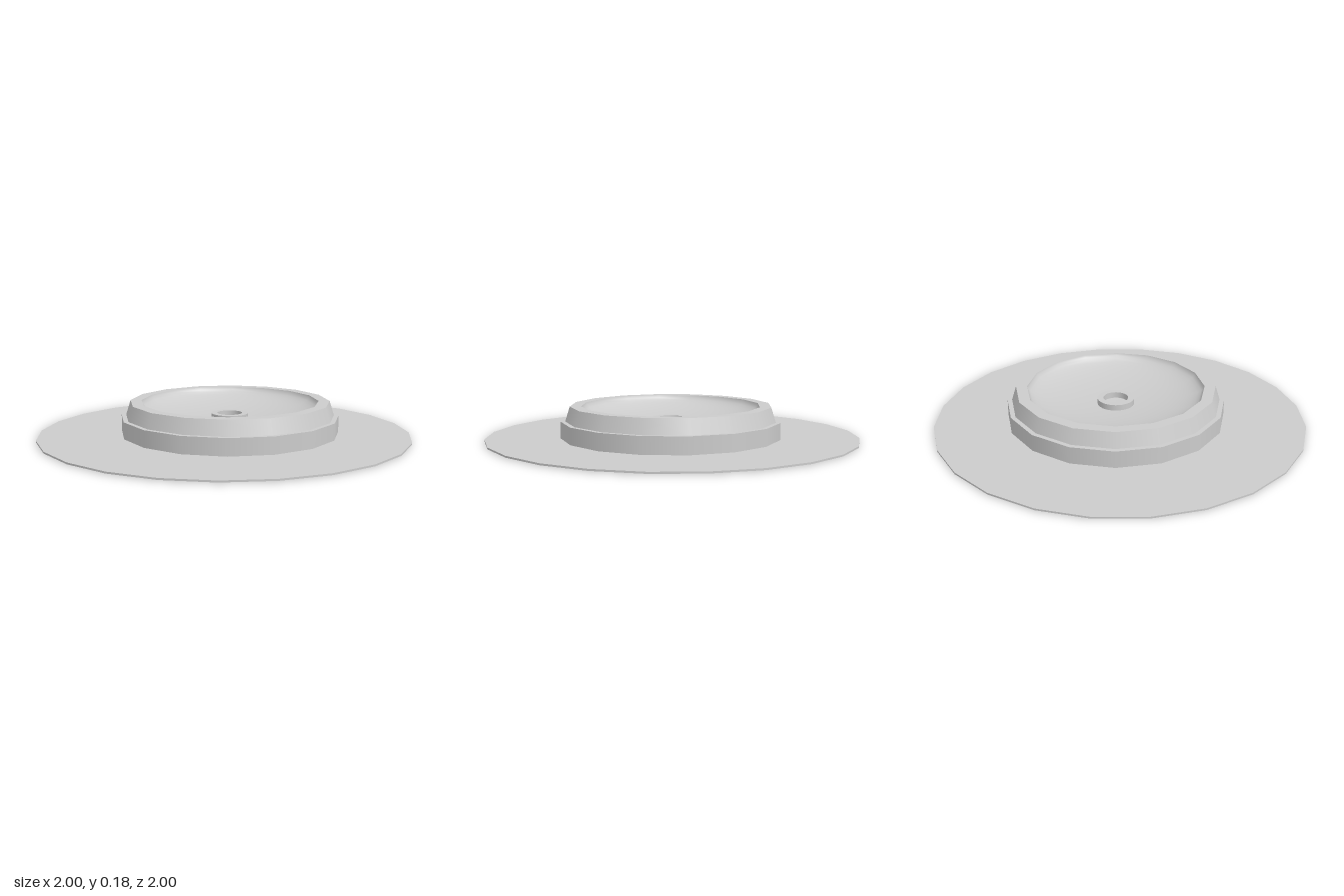
import * as THREE from 'three';
import { mergeGeometries } from 'three/addons/utils/BufferGeometryUtils.js';

const grey = new THREE.MeshStandardMaterial({ color: 0xcccccc });

// Revolves each band separately, so normals are smooth around and sharp between bands
function turned(name, bands, sides) {
  const parts = bands.map(b =>
    new THREE.LatheGeometry(b.map(([r, y]) => new THREE.Vector2(r, y)), sides));
  const mesh = new THREE.Mesh(mergeGeometries(parts), grey);
  mesh.name = name;
  return mesh;
}

// Splits a profile into one band per straight segment
const segments = pts => pts.slice(1).map((p, i) => [pts[i], p]);

export function createModel() {
  const model = new THREE.Group();
  model.name = 'basinOnPlate';

  // Thin round plate
  const plate = turned('basePlate', segments([
    [0, 0.003], [1, 0.003], [1, 0.012], [0, 0.012],
  ]), 24);
  model.add(plate);

  // Basin, set slightly off the plate's centre
  const basin = new THREE.Group();
  basin.name = 'basin';
  basin.position.set(0.03, 0, -0.012);
  model.add(basin);

  // Stepped outer wall and flat rim
  basin.add(turned('basinWall', segments([
    [0, 0], [0.59, 0], [0.59, 0.102], [0.565, 0.102], [0.54, 0.181], [0.48, 0.181],
  ]), 16));

  // Bowl: flattened hemisphere, steep at the rim and flat in the middle
  const bowl = [];
  for (let i = 0; i <= 12; i++) {
    const t = (i / 12) * Math.PI / 2;
    bowl.push([i === 12 ? 0 : 0.48 * Math.cos(t), 0.181 - 0.101 * Math.sin(t)]);
  }
  basin.add(turned('bowl', [bowl], 16));

  // Raised ring in the middle of the bowl
  basin.add(turned('centreRing', segments([
    [0.1, 0.07], [0.1, 0.114], [0.067, 0.114], [0.067, 0.07],
  ]), 32));

  return model;
}
